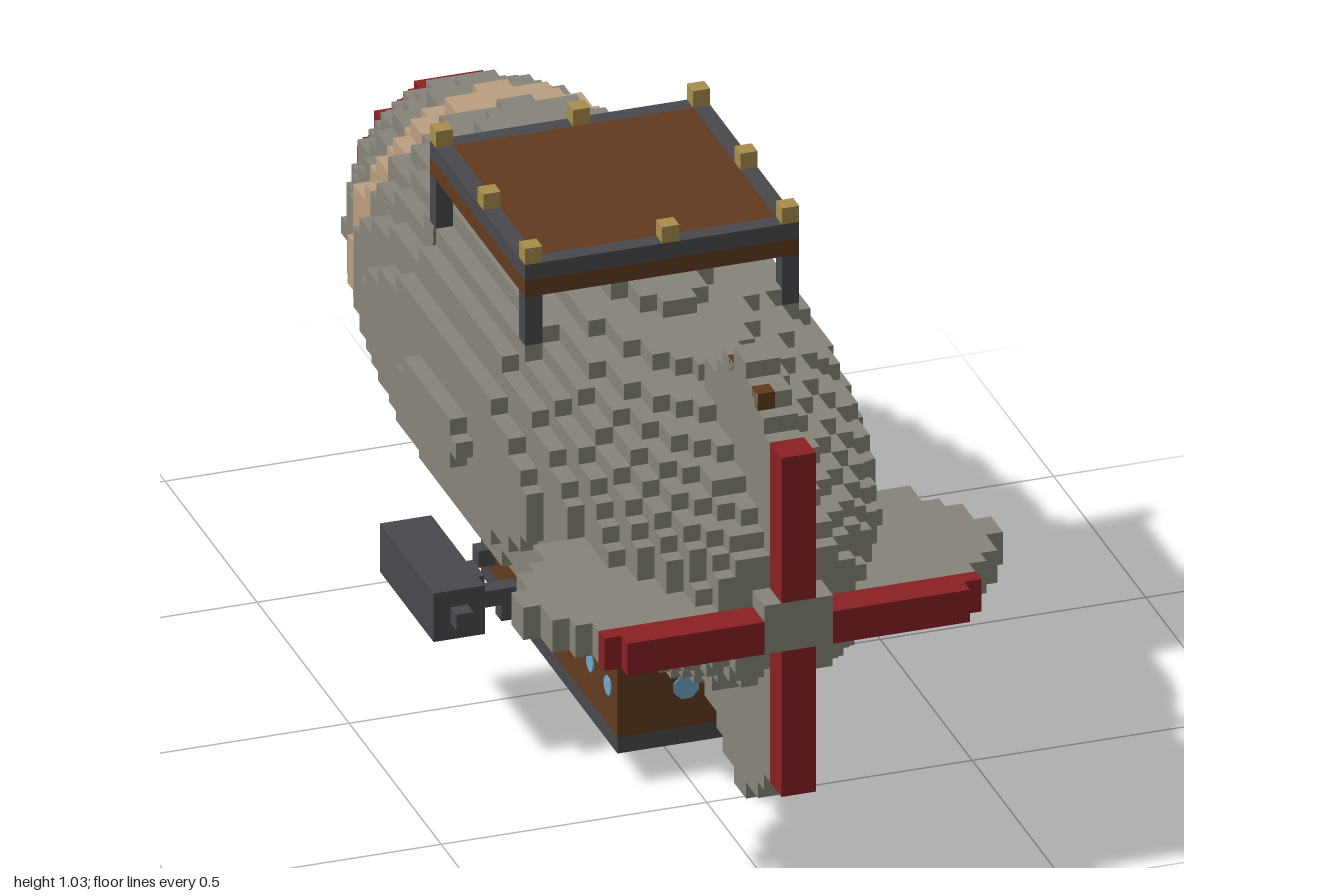
import * as THREE from 'three';
import { mergeGeometries } from 'three/addons/utils/BufferGeometryUtils.js';

const V = 2 / 62; // edge of one cube cell
const MID = 18.5; // height of the envelope axis, in cells

const makeMat = (name, color) => {
  const m = new THREE.MeshStandardMaterial({ color });
  m.name = name;
  return m;
};

// A box given by its corners in cells
function box(x0, y0, z0, x1, y1, z1) {
  const g = new THREE.BoxGeometry((x1 - x0) * V, (y1 - y0) * V, (z1 - z0) * V);
  return g.translate((x0 + x1) * V / 2, (y0 + y1) * V / 2, (z0 + z1) * V / 2);
}

// Boxes repeated on both sides of x = 0
const mirrored = (list) => list.flatMap(([a, b, c, d, e, f]) => [box(a, b, c, d, e, f), box(-d, b, c, -a, e, f)]);

// Square ring around the y axis, one cell wide
const ring = (r, y0, y1) => [
  box(-r, y0, -r, r, y1, 1 - r), box(-r, y0, r - 1, r, y1, r),
  box(-r, y0, 1 - r, 1 - r, y1, r - 1), box(r - 1, y0, 1 - r, r, y1, r - 1),
];

// Length of a tail fin, row by row from the tip inward
const FIN_ROWS = [[23, 25], [21, 27], [20, 28], [18, 29]];
function inFin(row, k) {
  if (row < 0) return false;
  const [a, b] = FIN_ROWS[Math.min(row, 3)];
  return k >= a && k < b;
}

// Which part fills cell (i, j, k), or null when empty
function partAt(i, j, k) {
  const x = Math.abs(i + 0.5), y = Math.abs(j + 0.5 - MID), z = k + 0.5;
  if (k < -31 || k >= 31) return null;
  const c = z < 0 ? 31.7 : 31;
  const r = k >= 29 ? 2 : 10.65 * Math.sqrt(1 - (z / c) ** 2);
  if (Math.hypot(x, y) <= r) {
    if (k < -27) return 'noseCap';
    if (k >= -21 && k < -18) return 'noseBand';
    return 'envelope';
  }
  if (x < 1) {
    if (inFin(13 - y, k)) return 'verticalFins';
    if (k >= 29 && y <= 10) return 'verticalRudders';
  }
  if (j === 17 || j === 18) {
    if (inFin(13.5 - x, k)) return 'horizontalFins';
    if (k >= 29 && x < (k === 29 ? 11 : 10)) return 'elevators';
  }
  return null;
}

// Emit only the outer faces of the filled cells, sorted by part
function envelopeGeometries() {
  const data = {};
  for (let i = -14; i < 14; i++) for (let j = 5; j < 32; j++) for (let k = -31; k < 31; k++) {
    const part = partAt(i, j, k);
    if (!part) continue;
    const d = (data[part] ??= { pos: [], nor: [], idx: [] });
    for (let axis = 0; axis < 3; axis++) for (const s of [-1, 1]) {
      const n = [0, 0, 0];
      n[axis] = s;
      if (partAt(i + n[0], j + n[1], k + n[2])) continue;
      const u = (axis + 1) % 3, w = (axis + 2) % 3, base = d.pos.length / 3;
      for (const [a, b] of [[0, 0], [1, 0], [1, 1], [0, 1]]) {
        const p = [i, j, k];
        if (s > 0) p[axis] += 1;
        p[u] += a;
        p[w] += b;
        d.pos.push(p[0] * V, p[1] * V, p[2] * V);
        d.nor.push(...n);
      }
      const q = s > 0 ? [0, 1, 2, 0, 2, 3] : [0, 2, 1, 0, 3, 2];
      d.idx.push(...q.map((t) => base + t));
    }
  }
  return Object.entries(data).map(([name, d]) => {
    const g = new THREE.BufferGeometry();
    g.setAttribute('position', new THREE.Float32BufferAttribute(d.pos, 3));
    g.setAttribute('normal', new THREE.Float32BufferAttribute(d.nor, 3));
    g.setIndex(d.idx);
    return [name, g];
  });
}

export function createModel() {
  const grey = makeMat('canvas grey', 0x87857a);
  const red = makeMat('deep red', 0x8a2024);
  const tan = makeMat('tan', 0xbca082);
  const brown = makeMat('wood brown', 0x623a1f);
  const dark = makeMat('dark iron', 0x4a494e);
  const gold = makeMat('brass', 0xaa8f4c);
  const blue = makeMat('window blue', 0x6fa8c8);

  const group = new THREE.Group();
  group.name = 'airship';
  const add = (name, mat, geos) => {
    const mesh = new THREE.Mesh(geos.length > 1 ? mergeGeometries(geos) : geos[0], mat);
    mesh.name = name;
    group.add(mesh);
  };

  // Gas envelope with nose and tail surfaces
  const skin = { noseCap: red, verticalRudders: red, elevators: red, noseBand: tan };
  for (const [name, g] of envelopeGeometries()) add(name, skin[name] ?? grey, [g]);
  add('finFlecks', brown, [box(-1, 30, 26, 0, 31.03, 27.03), box(-1, 30, 22, 0, 31.03, 23)]);

  // Lookout deck on top
  add('deckPanel', brown, [box(-7, 30, -7, 7, 31, 7)]);
  add('deckSkirt', brown, ring(8, 29, 30));
  add('deckRim', dark, ring(8, 30, 31));
  add('deckPosts', dark, mirrored([[7, 24, 7, 8, 29, 8], [7, 24, -8, 8, 29, -7]]));
  const knobs = [];
  for (const x of [-8, 0, 7]) for (const z of [-8, 0, 7]) {
    if (x || z) knobs.push(box(x, 31, z, x + 1, 32, z + 1));
  }
  add('deckKnobs', gold, knobs);

  // Gondola and keel
  add('gondola', brown, [box(-4, 3, -11, 4, 8, 12)]);
  add('gondolaFloor', dark, [box(-4, 2, -11, 4, 3, 12)]);
  add('keel', dark, [box(-3, 1, -10, 3, 2, 10)]);
  add('keelFoot', dark, [box(-2, 0, -10, 2, 1, -6)]);
  add('gondolaHangers', dark, mirrored([[2, 8, 8, 3, 10, 10], [2, 8, -10, 3, 10, -8]]));

  // Windows as thin eight-sided plates
  const pane = (r) => new THREE.CylinderGeometry(r, r, 0.006, 8).rotateY(Math.PI / 8);
  const panes = [];
  for (const z of [10.5, 7.5, 4.5, 1.5, -1.5, -4.5, -7.5, -10.4]) for (const s of [-1, 1]) {
    panes.push(pane(0.019).rotateZ(Math.PI / 2).translate(s * 4 * V, 5.5 * V, z * V));
  }
  add('sideWindows', blue, panes);
  add('endWindows', blue, [12, -11].map((z) => pane(0.025).rotateX(Math.PI / 2).translate(0, 5.5 * V, z * V)));

  // Engine pods and their stepped struts
  add('enginePods', dark, mirrored([[10, 8, -2, 13, 11, 7]]));
  add('engineShafts', dark, mirrored([[11, 9, 7, 12, 10, 8]]));
  add('lowerStruts', dark, mirrored([
    [4, 6, 3, 6, 7, 4], [5, 7, 3, 8, 8, 4], [7, 8, 3, 9, 9, 4], [9, 9, 3, 10, 10, 4],
  ]));
  add('upperStruts', dark, mirrored([
    [9, 9, 2, 10, 10, 3], [8, 10, 2, 9, 11, 3], [7, 11, 2, 8, 12, 3],
  ]));
  return group;
}
